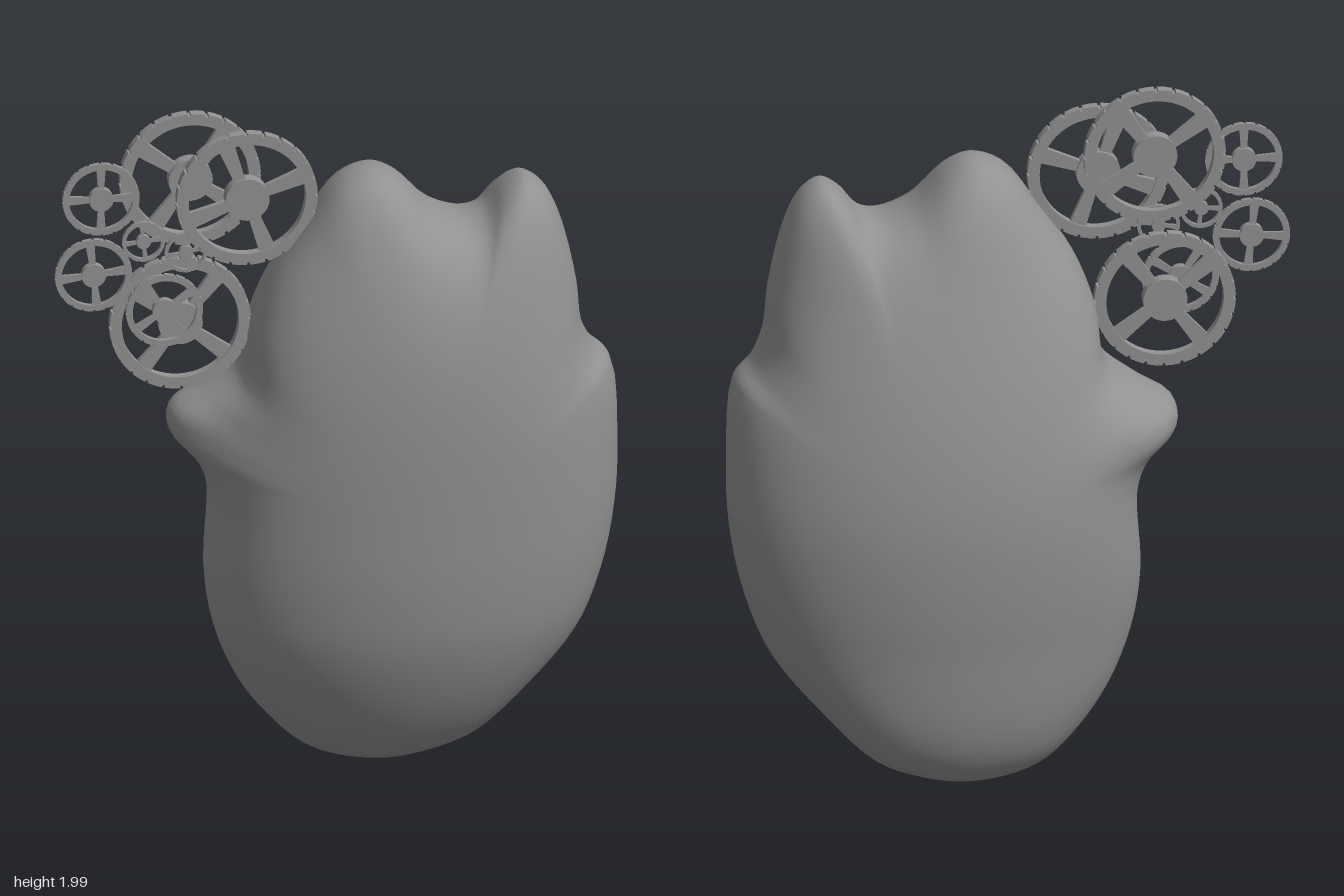
import * as THREE from 'three';

const material = new THREE.MeshStandardMaterial({ color: 0x929292 });

// Body silhouette, counterclockwise from the bottom
const OUTLINE = [
  [0.14, 0.005], [0.27, 0.03], [0.39, 0.08], [0.54, 0.23], [0.67, 0.39], [0.74, 0.56], [0.78, 0.76],
  [0.787, 0.94], [0.765, 1.19], [0.715, 1.24], [0.68, 1.32], [0.665, 1.45], [0.62, 1.64],
  [0.575, 1.73], [0.52, 1.765], [0.465, 1.735], [0.41, 1.67], [0.35, 1.655], [0.26, 1.69],
  [0.165, 1.785], [0.095, 1.815], [0.005, 1.785], [-0.09, 1.66], [-0.19, 1.51], [-0.245, 1.365],
  [-0.27, 1.21], [-0.365, 1.145], [-0.455, 1.095], [-0.465, 1.03], [-0.39, 0.94], [-0.355, 0.84],
  [-0.365, 0.6], [-0.34, 0.43], [-0.275, 0.27], [-0.19, 0.15], [-0.095, 0.06], [0, 0.02],
];

// Rounded body: the outline is inflated from a front pole to a back pole
function bodyGeometry() {
  const N = 148, M = 56, cx = 0.2, cy = 0.85;
  const curve = new THREE.CatmullRomCurve3(
    OUTLINE.map(([x, y]) => new THREE.Vector3(x, y, 0)), true, 'centripetal');
  const rim = Array.from({ length: N }, (_, j) => curve.getPoint(j / N));
  const positions = [], indices = [];
  for (let i = 0; i <= M; i++) {
    const phi = (i / M) * Math.PI, s = Math.sin(phi), c = Math.cos(phi);
    const bulge = Math.sign(c) * Math.abs(c) ** 0.84;
    for (let j = 0; j < N; j++) {
      const dx = rim[j].x - cx, dy = rim[j].y - cy;
      // a plain oval inside blends into the ears and arm towards the rim
      const base = 1 / Math.hypot(dx / 0.58, dy / 0.86);
      const k = base * s + (1 - base) * s ** 7;
      const x = cx + dx * k, y = cy + dy * k;
      // body leans forward at the top; the arm sits slightly back
      const lean = 0.055 * THREE.MathUtils.smoothstep(y, 0.75, 1.6)
        - 0.045 * (1 - THREE.MathUtils.smoothstep(y, 0, 0.5));
      const arm = -0.045 * Math.exp(-(((x + 0.42) / 0.14) ** 2) - ((y - 1.06) / 0.12) ** 2);
      const depth = 0.352 * (1 + 0.22 * Math.abs((y - cy) / 0.96) ** 6);
      positions.push(x, y, lean + arm + depth * bulge);
    }
  }
  for (let i = 0; i < M; i++) {
    for (let j = 0; j < N; j++) {
      const n = (j + 1) % N;
      const a = i * N + j, b = a + N, c = (i + 1) * N + n, d = i * N + n;
      if (i < M - 1) indices.push(a, b, c);
      if (i > 0 && i < M - 1) indices.push(a, c, d);
      if (i === M - 1) indices.push(a, b, d);
    }
  }
  const g = new THREE.BufferGeometry();
  g.setAttribute('position', new THREE.Float32BufferAttribute(positions, 3));
  g.setIndex(indices);
  g.computeVertexNormals();
  return g;
}

function addMesh(parent, name, geometry) {
  const mesh = new THREE.Mesh(geometry, material);
  mesh.name = name;
  parent.add(mesh);
  return mesh;
}

// Extrude a shape along z, centred on z = 0
function slab(shape, depth) {
  return new THREE.ExtrudeGeometry(shape, { depth, bevelEnabled: false, curveSegments: 32 })
    .translate(0, 0, -depth / 2);
}

// Gear wheel: toothed rim, four flared spokes and a hub
function makeGear({ name, x, y, z, r, turn, thick, hub, hubDepth, teeth }) {
  const gear = new THREE.Group();
  gear.name = name;
  const inner = r * 0.83;

  const rim = new THREE.Shape();
  for (let i = 0; i < teeth; i++) {
    // wide teeth with narrow, shallow gaps
    for (const [f, q] of [[0, 0.965], [0.14, 0.965], [0.16, 1], [0.58, 1], [0.98, 1]]) {
      const a = ((i + f) / teeth) * Math.PI * 2;
      const px = Math.cos(a) * r * q, py = Math.sin(a) * r * q;
      if (i === 0 && f === 0) rim.moveTo(px, py);
      else rim.lineTo(px, py);
    }
  }
  rim.closePath();
  const hole = new THREE.Path();
  hole.absarc(0, 0, inner, 0, Math.PI * 2, true);
  rim.holes.push(hole);
  addMesh(gear, 'gearRim', slab(rim, thick));

  const w = r * 0.06, w2 = r * 0.12;
  const spoke = new THREE.Shape([
    new THREE.Vector2(0, -w), new THREE.Vector2(inner * 1.03, -w2),
    new THREE.Vector2(inner * 1.03, w2), new THREE.Vector2(0, w),
  ]);
  for (let i = 0; i < 4; i++) {
    addMesh(gear, 'gearSpoke', slab(spoke, thick * 0.6)).rotation.z = turn + (i * Math.PI) / 2;
  }

  addMesh(gear, 'gearHub', new THREE.CylinderGeometry(hub, hub, hubDepth, 28).rotateX(Math.PI / 2));
  gear.position.set(x, y, z);
  return gear;
}

export function createModel() {
  const model = new THREE.Group();
  model.name = 'creatureWithGears';
  addMesh(model, 'body', bodyGeometry());

  // Cluster of gears beside the head
  const gears = new THREE.Group();
  gears.name = 'gearCluster';
  const big = { r: 0.198, thick: 0.028, hub: 0.062, hubDepth: 0.038, teeth: 24 };
  const small = { r: 0.108, thick: 0.014, hub: 0.034, hubDepth: 0.022, teeth: 20 };
  const tiny = { r: 0.06, thick: 0.012, hub: 0.02, hubDepth: 0.018, teeth: 14 };
  [
    { name: 'upperBackGear', x: -0.412, y: 1.802, z: 0.03, turn: 0.95, ...big },
    { name: 'upperFrontGear', x: -0.258, y: 1.747, z: 0.066, turn: 0.35, ...big },
    { name: 'lowerGear', x: -0.44, y: 1.37, z: 0.03, turn: 0.9, ...big },
    { name: 'upperOuterGear', x: -0.665, y: 1.765, z: 0.054, turn: 0, ...small },
    { name: 'lowerOuterGear', x: -0.686, y: 1.537, z: 0.054, turn: 0.1, ...small },
    { name: 'lowerFrontGear', x: -0.488, y: 1.42, z: 0.06, turn: 0.6, ...small },
    { name: 'innerGearLeft', x: -0.425, y: 1.585, z: 0.045, turn: 0.2, ...tiny },
    { name: 'innerGearRight', x: -0.545, y: 1.627, z: 0.05, turn: 0.1, ...tiny },
  ].forEach((spec) => gears.add(makeGear(spec)));
  model.add(gears);
  return model;
}
